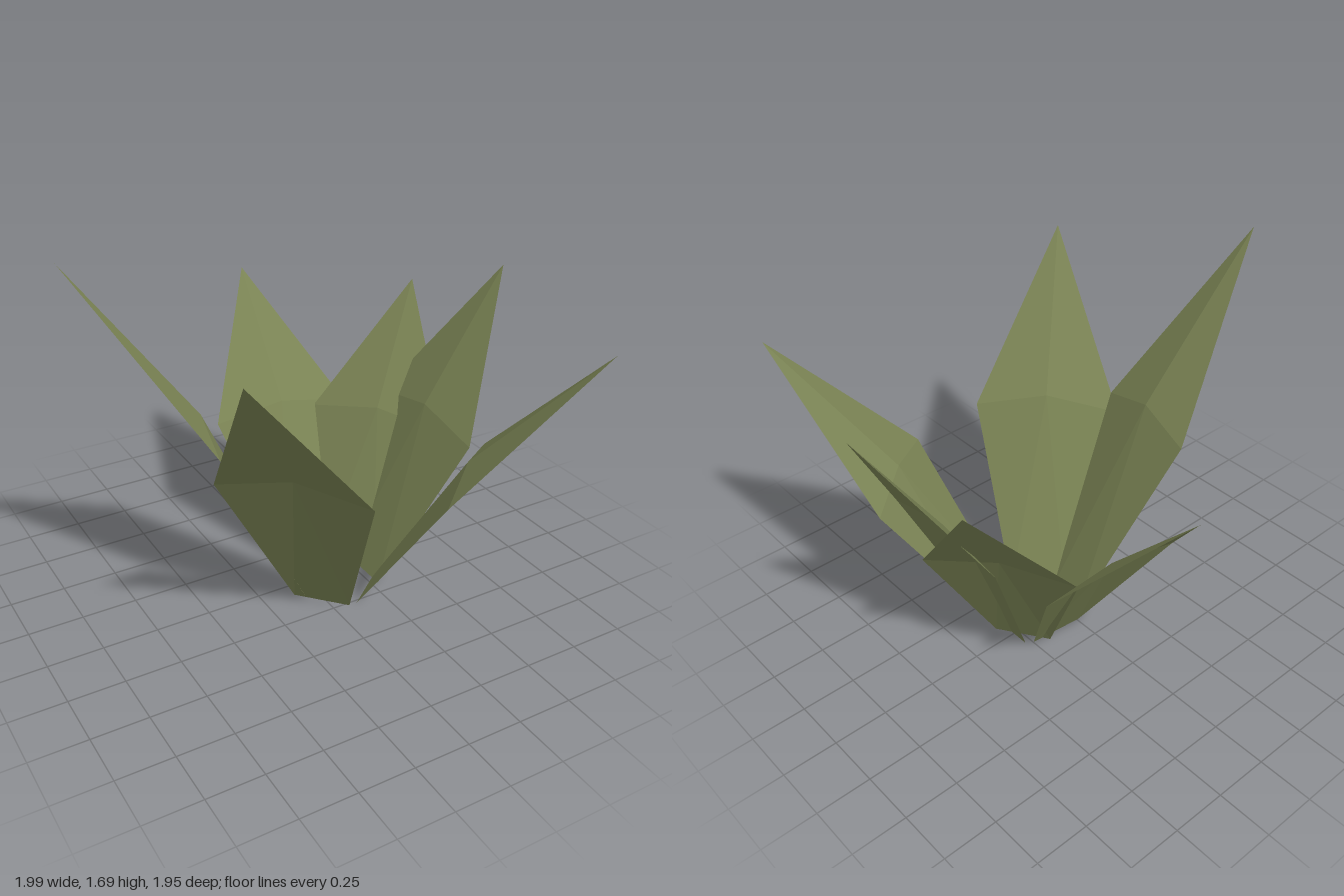
import * as THREE from 'three';

// Each leaf: centre of its foot (x, z), tip (x, y, z) and half width at the widest point
const LEAVES = [
  { name: 'frontRightLeaf', foot: [-0.015, 0.17], tip: [-0.69, 1.48, 0.78], half: 0.336 },
  { name: 'rightLeaf', foot: [-0.05, 0.017], tip: [-1.0, 1.69, -0.14], half: 0.27 },
  { name: 'backLeaf', foot: [0.12, -0.115], tip: [0.2, 1.2, -0.98], half: 0.33 },
  { name: 'frontLeftLeaf', foot: [0.2, 0.197], tip: [0.81, 1.34, 0.97], half: 0.3 },
  { name: 'leftLeaf', foot: [0.28, 0.05], tip: [0.99, 1.39, 0.05], half: 0.34 },
  { name: 'backLeftLeaf', foot: [0.25, -0.03], tip: [0.82, 1.21, -0.405], half: 0.335 },
];

// Cross-sections shared by all leaves, as fractions of reach, height and half width
const SECTIONS = [
  { along: 0, edgeY: 0, ribY: 0, width: 0.39 },
  { along: 0.445, edgeY: 0.522, ribY: 0.57, width: 1 },
  { along: 1, edgeY: 1, ribY: 1, width: 0 },
];

function leafGeometry({ foot, tip, half }) {
  const reach = new THREE.Vector2(tip[0] - foot[0], tip[2] - foot[1]);
  const side = new THREE.Vector2(-reach.y, reach.x).normalize();
  const positions = [];
  for (const s of SECTIONS) {
    for (const k of [-1, 0, 1]) {
      const w = k * s.width * half;
      positions.push(
        foot[0] + reach.x * s.along + side.x * w,
        tip[1] * (k === 0 ? s.ribY : s.edgeY),
        foot[1] + reach.y * s.along + side.y * w
      );
    }
  }
  // Two folded panels below the widest point, two triangles meeting at the tip
  const index = [0, 4, 1, 0, 3, 4, 1, 4, 2, 2, 4, 5, 3, 7, 4, 4, 7, 5];
  const geometry = new THREE.BufferGeometry();
  geometry.setAttribute('position', new THREE.Float32BufferAttribute(positions, 3));
  geometry.setIndex(index);
  const faceted = geometry.toNonIndexed();
  faceted.computeVertexNormals();
  return faceted;
}

export function createModel() {
  const group = new THREE.Group();
  group.name = 'plant';
  const leafGreen = new THREE.MeshStandardMaterial({
    color: 0x7a8354,
    flatShading: true,
    side: THREE.DoubleSide,
  });
  leafGreen.name = 'olive green';
  for (const leaf of LEAVES) {
    const mesh = new THREE.Mesh(leafGeometry(leaf), leafGreen);
    mesh.name = leaf.name;
    group.add(mesh);
  }
  return group;
}
